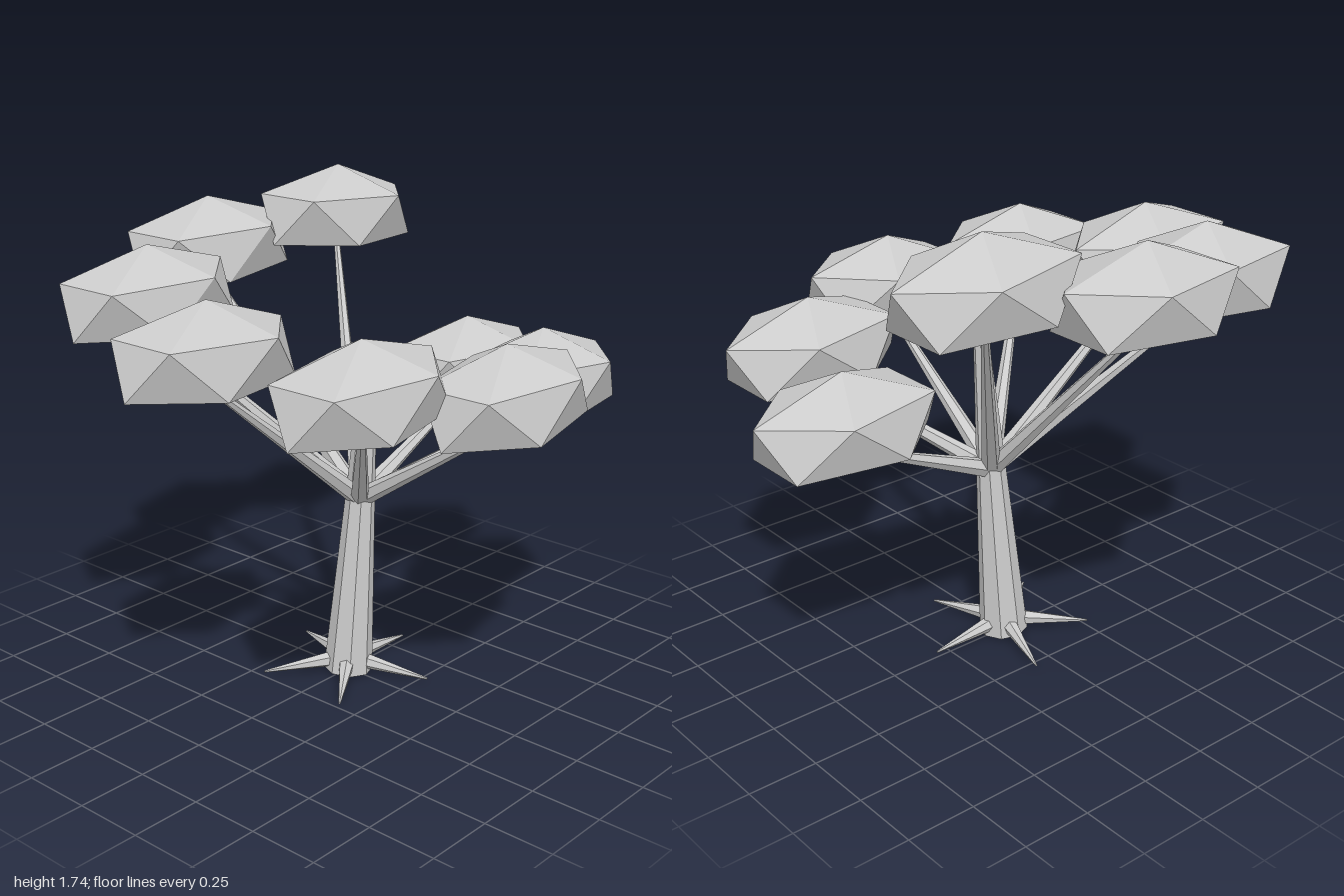
import * as THREE from 'three';
import { ConvexGeometry } from 'three/addons/geometries/ConvexGeometry.js';

const material = new THREE.MeshStandardMaterial({ color: 0xcccccc, flatShading: true });
const vec = (x, y, z) => new THREE.Vector3(x, y, z);

// Straight tapered limb between two points
function limb(name, from, to, r0, r1, sides) {
  const dir = to.clone().sub(from);
  const geometry = new THREE.CylinderGeometry(r1, r0, dir.length(), sides);
  const mesh = new THREE.Mesh(geometry, material);
  mesh.quaternion.setFromUnitVectors(vec(0, 1, 0), dir.normalize());
  mesh.position.copy(from).add(to).multiplyScalar(0.5);
  mesh.name = name;
  return mesh;
}

// Leaf clump: two staggered five-point rings with a tall top and a squashed bottom
function leafGeometry() {
  const points = [vec(0, 0.185, 0), vec(0, -0.12, 0)];
  for (let k = 0; k < 5; k++) {
    const a = (k / 5) * Math.PI * 2;
    points.push(vec(0.335 * Math.cos(a), 0.083, 0.223 * Math.sin(a)));
    points.push(vec(-0.335 * Math.cos(a), -0.083, 0.218 * Math.sin(a)));
  }
  return new ConvexGeometry(points);
}

export function createModel() {
  const tree = new THREE.Group();
  tree.name = 'tree';

  // Leaning trunk
  tree.add(limb('trunk', vec(0, 0.005, 0), vec(0.07, 1.19, 0.04), 0.088, 0.025, 8));

  // Five pointed roots
  for (let i = 0; i < 5; i++) {
    const a = (i / 5) * Math.PI * 2;
    const c = Math.cos(a), s = Math.sin(a);
    tree.add(limb('root', vec(0.04 * c, 0.047, 0.04 * s), vec(0.31 * c, 0.02, 0.31 * s), 0.031, 0.004, 6));
  }

  // Eight branches rising in a spiral, each carrying a slightly tilted leaf clump
  const leaves = leafGeometry();
  const fork = vec(0.04, 0.66, 0.02);
  const tilts = [-0.02, -0.035, 0.035, 0.03, -0.03, 0.02, 0.02, -0.045];
  tilts.forEach((tilt, i) => {
    const a = (i / 8) * Math.PI * 2;
    const centre = vec(0.665 * Math.cos(a), 1.015 + 0.0765 * i, 0.67 * Math.sin(a));
    tree.add(limb('branch', fork, centre.clone().add(vec(0, -0.09, 0)), 0.035, 0.011, 6));

    const clump = new THREE.Mesh(leaves, material);
    clump.name = 'leafClump';
    clump.position.copy(centre);
    clump.rotation.z = tilt;
    tree.add(clump);
  });

  return tree;
}
